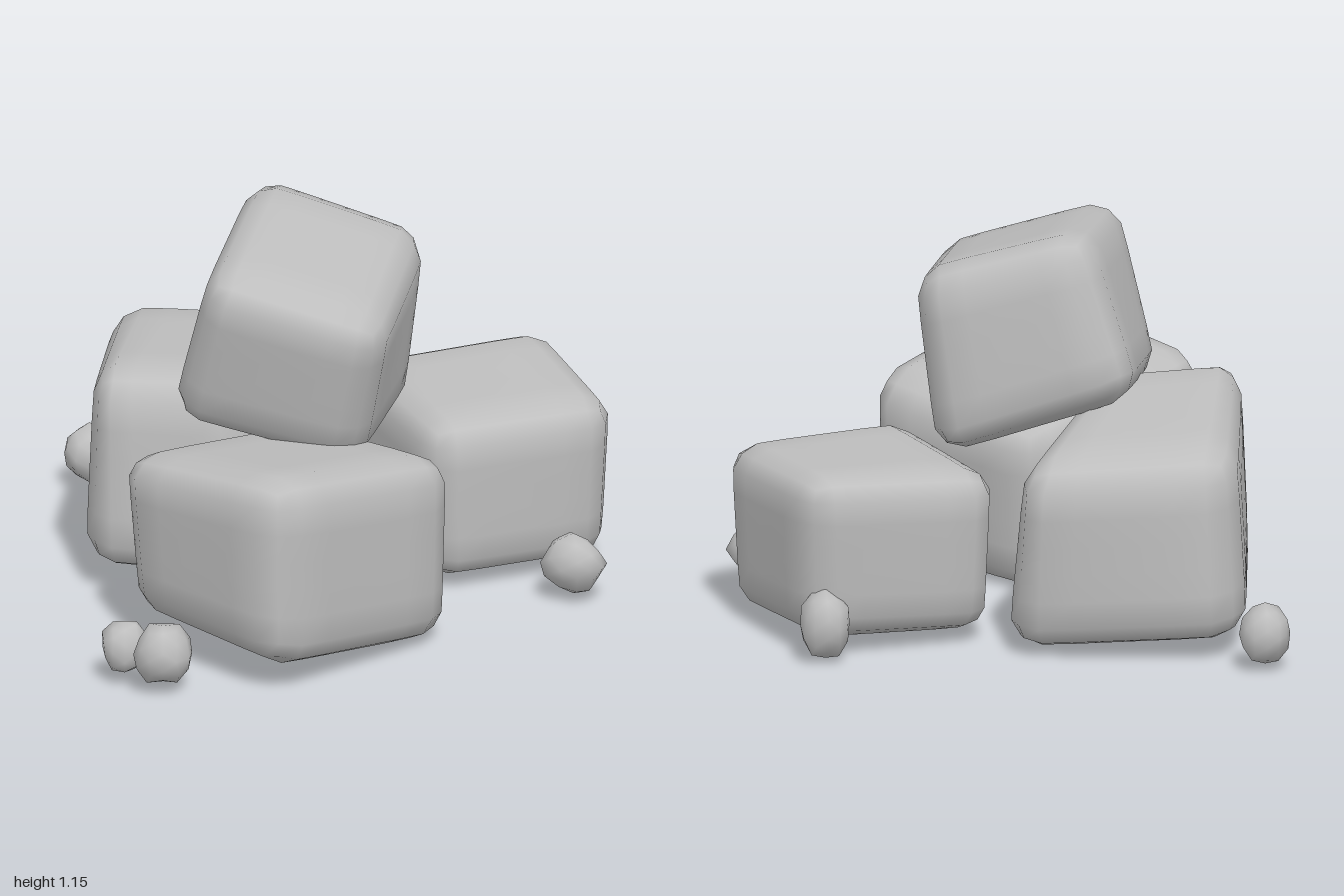
import * as THREE from 'three';
import { mergeVertices } from 'three/addons/utils/BufferGeometryUtils.js';

const stone = new THREE.MeshStandardMaterial({ color: 0xbebebe });
stone.name = 'stone grey';

// Weld a geometry so its shading is smooth across all seams
function smooth(geo) {
  geo.deleteAttribute('normal');
  geo.deleteAttribute('uv');
  const welded = mergeVertices(geo, 1e-4);
  welded.computeVertexNormals();
  return welded;
}

// Rounded, slightly bulging cube warped into eight corners: back left, back right,
// front right, front left, first of the bottom and then of the top
function boulder(name, corners, radius = 0.36, bulge = 0.03) {
  const geo = new THREE.BoxGeometry(2, 2, 2, 7, 7, 7);
  const pos = geo.attributes.position;
  const c = corners.map((p) => new THREE.Vector3(...p));
  const v = new THREE.Vector3(), core = new THREE.Vector3();
  const low = new THREE.Vector3().setScalar(radius - 1);
  const high = new THREE.Vector3().setScalar(1 - radius);
  for (let i = 0; i < pos.count; i++) {
    v.fromBufferAttribute(pos, i);
    core.copy(v).clamp(low, high);
    v.sub(core).setLength(radius).add(core).multiplyScalar(1 + bulge);
    const x = (v.x + 1) / 2, y = (v.y + 1) / 2, z = (v.z + 1) / 2;
    const weights = [(1 - x) * (1 - z), x * (1 - z), x * z, (1 - x) * z];
    v.set(0, 0, 0);
    weights.forEach((w, k) => {
      v.addScaledVector(c[k], w * (1 - y)).addScaledVector(c[k + 4], w * y);
    });
    pos.setXYZ(i, v.x, v.y, v.z);
  }
  const mesh = new THREE.Mesh(smooth(geo), stone);
  mesh.name = name;
  return mesh;
}

// Small lumpy low-poly stone
function pebble(name, center, radii, seed) {
  const geo = smooth(new THREE.IcosahedronGeometry(1, 1));
  const pos = geo.attributes.position;
  const v = new THREE.Vector3();
  for (let i = 0; i < pos.count; i++) {
    v.fromBufferAttribute(pos, i);
    v.multiplyScalar(1.01 + 0.09 * Math.sin(i * 2.4 + seed * 1.7));
    pos.setXYZ(i, v.x, v.y, v.z);
  }
  geo.scale(...radii);
  geo.computeVertexNormals();
  const mesh = new THREE.Mesh(geo, stone);
  mesh.name = name;
  mesh.position.set(...center);
  return mesh;
}

export function createModel() {
  const group = new THREE.Group();
  group.name = 'rockPile';

  // Three boulders on the ground and one resting on top
  group.add(
    boulder('rightBoulder', [
      [-0.78, 0.07, -0.46], [-0.13, 0.03, -0.70], [0.10, 0.05, 0.05], [-0.42, 0.10, 0.35],
      [-0.74, 0.63, -0.45], [-0.18, 0.60, -0.74], [-0.08, 0.68, 0.12], [-0.41, 0.70, 0.32],
    ]),
    boulder('frontBoulder', [
      [0.07, 0.00, -0.06], [0.68, 0.02, 0.13], [0.48, 0.10, 0.83], [-0.13, 0.13, 0.62],
      [0.06, 0.51, -0.13], [0.68, 0.57, 0.10], [0.48, 0.68, 0.84], [-0.18, 0.60, 0.62],
    ]),
    boulder('backBoulder', [
      [-0.03, 0.05, -0.56], [0.37, 0.08, -0.95], [0.79, 0.05, -0.60], [0.46, 0.05, -0.16],
      [-0.06, 0.53, -0.57], [0.36, 0.57, -1.00], [0.82, 0.53, -0.60], [0.46, 0.53, -0.14],
    ]),
    boulder('topBoulder', [
      [-0.35, 0.72, -0.28], [0.22, 0.50, -0.43], [0.38, 0.50, 0.18], [-0.14, 0.61, 0.35],
      [-0.18, 1.19, -0.28], [0.29, 1.05, -0.43], [0.50, 0.95, 0.23], [0.02, 1.10, 0.42],
    ]),
  );

  // Pebbles scattered around the pile
  const pebbles = [
    [[-0.85, 0.125, -0.47], [0.073, 0.085, 0.076]],
    [[0.00, 0.12, 0.88], [0.067, 0.08, 0.07]],
    [[0.14, 0.13, 0.90], [0.08, 0.09, 0.092]],
    [[0.825, 0.13, -0.325], [0.094, 0.086, 0.074]],
    [[0.34, 0.13, -0.93], [0.075, 0.098, 0.071]],
  ];
  pebbles.forEach(([center, radii], i) => group.add(pebble(`pebble${i + 1}`, center, radii, i)));
  return group;
}
